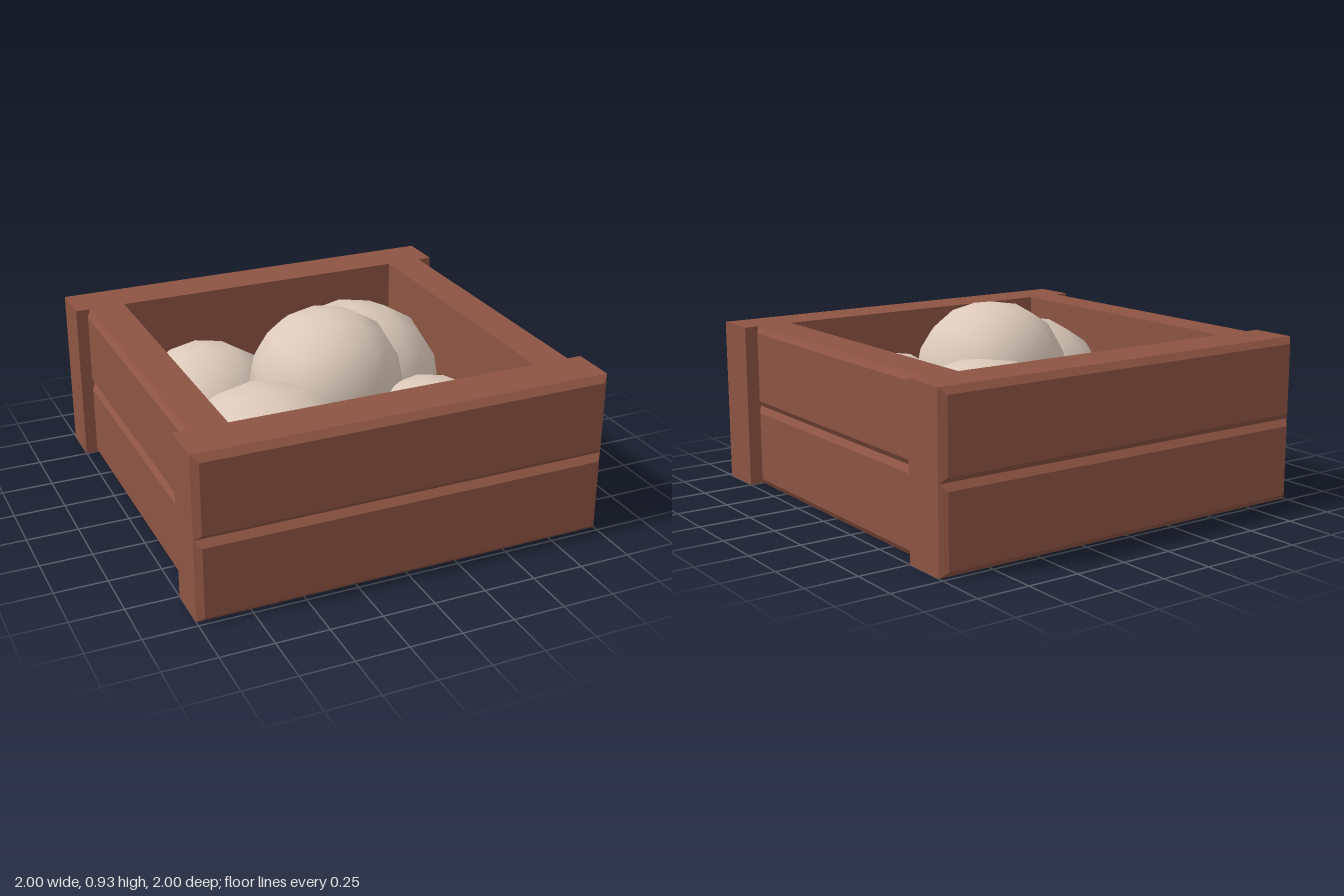
import * as THREE from 'three';
import { mergeVertices } from 'three/addons/utils/BufferGeometryUtils.js';

const wood = new THREE.MeshStandardMaterial({ color: 0x8d5443 });
wood.name = 'brown wood';
const shell = new THREE.MeshStandardMaterial({ color: 0xdccabb });
shell.name = 'pale beige';

const INSET = 0.03;

// Plank lying along x, inner face at z = 0, chamfered around its outer face
function plankGeometry(length, height, depth, chamfer) {
  const geo = new THREE.BoxGeometry(length, height, depth, 1, 1, 2);
  geo.translate(0, 0, depth / 2);
  const p = geo.attributes.position;
  for (let i = 0; i < p.count; i++) {
    const z = p.getZ(i);
    if (z > depth * 0.75) {
      p.setX(i, p.getX(i) - Math.sign(p.getX(i)) * INSET);
      p.setY(i, p.getY(i) - Math.sign(p.getY(i)) * INSET);
    } else if (z > depth * 0.25) {
      p.setZ(i, depth - chamfer);
    }
  }
  const flat = geo.toNonIndexed();
  flat.computeVertexNormals();
  return flat;
}

// Coordinates of a twice-smoothed cube, by how many grid coordinates
// of a point are full (1) and half (0.5)
const FULL = { 1: [1, 0.933, 0.87], 2: [0.733, 0.682], 3: [0.58] };
const HALF = { 1: [0, 0.399, 0.371], 2: [0, 0.344] };

function ballGeometry(radius, lowest) {
  let geo = new THREE.BoxGeometry(2, 2, 2, 4, 4, 4);
  geo.deleteAttribute('uv');
  geo.deleteAttribute('normal');
  geo = mergeVertices(geo);
  const p = geo.attributes.position;
  for (let i = 0; i < p.count; i++) {
    const v = [p.getX(i), p.getY(i), p.getZ(i)];
    const full = v.filter((c) => Math.abs(c) > 0.9).length;
    const half = v.filter((c) => Math.abs(Math.abs(c) - 0.5) < 0.1).length;
    const [x, y, z] = v.map((c) => {
      const a = Math.abs(c);
      if (a < 0.1) return 0;
      return Math.sign(c) * radius * (a > 0.9 ? FULL[full][half] : HALF[full][half]);
    });
    p.setXYZ(i, x, y, z);
  }
  geo.computeVertexNormals();
  // Rest the underside on the crate floor
  for (let i = 0; i < p.count; i++) p.setY(i, Math.max(p.getY(i), lowest));
  return geo;
}

export function createModel() {
  const model = new THREE.Group();
  model.name = 'crateOfBalls';

  const crate = new THREE.Group();
  crate.name = 'crate';
  model.add(crate);

  // Two rows of planks on each of the four sides
  const endGeo = plankGeometry(2, 0.4, 0.25, 0.03);
  const sideGeo = plankGeometry(1.5, 0.4, 0.2, 0.02);
  const walls = [
    ['frontPlank', endGeo, 0],
    ['leftPlank', sideGeo, 1],
    ['backPlank', endGeo, 2],
    ['rightPlank', sideGeo, 3],
  ];
  for (const [name, geo, turn] of walls) {
    const angle = (turn * Math.PI) / 2;
    for (const y of [0.2, 0.6]) {
      const plank = new THREE.Mesh(geo, wood);
      plank.name = name + (y < 0.4 ? 'Lower' : 'Upper');
      plank.position.set(Math.sin(angle) * 0.75, y, Math.cos(angle) * 0.75);
      plank.rotation.y = angle;
      crate.add(plank);
    }
  }

  // Floor
  const floor = new THREE.Mesh(new THREE.BoxGeometry(1.5, 0.04, 1.5), wood);
  floor.name = 'floor';
  floor.position.y = 0.02;
  crate.add(floor);

  // Four balls in the crate and one on top: x, y, z, radius
  const balls = [
    [-0.46, 0.3, -0.36, 0.37],
    [0.365, 0.3, -0.38, 0.45],
    [-0.45, 0.3, 0.43, 0.46],
    [0.385, 0.29, 0.445, 0.367],
    [0.015, 0.56, 0.05, 0.37],
  ];
  balls.forEach(([x, y, z, r], i) => {
    const ball = new THREE.Mesh(ballGeometry(r, 0.03 - y), shell);
    ball.name = i < 4 ? 'lowerBall' + (i + 1) : 'topBall';
    ball.position.set(x, y, z);
    model.add(ball);
  });

  return model;
}
